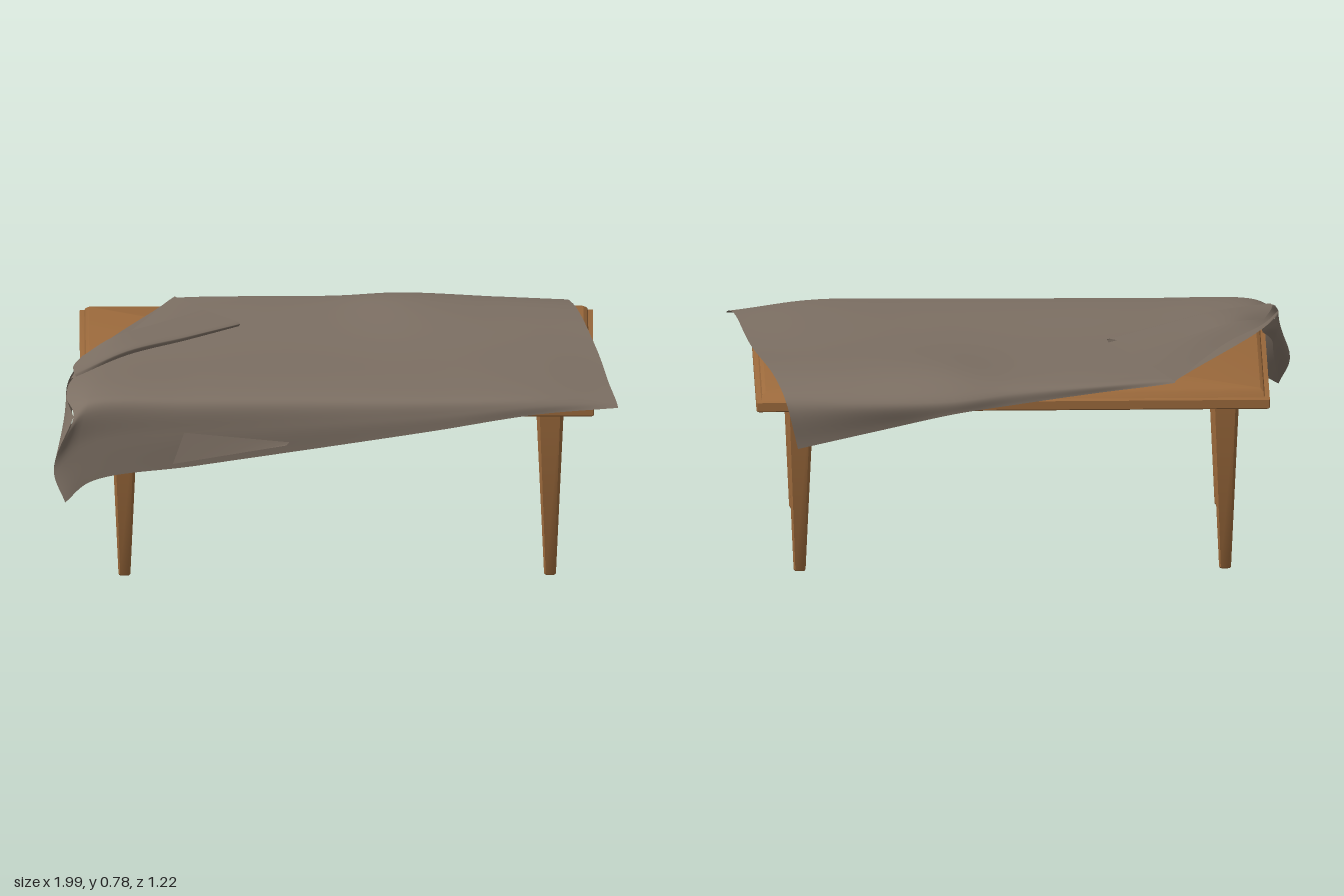
import * as THREE from 'three';
import { toCreasedNormals } from 'three/addons/utils/BufferGeometryUtils.js';

const wood = new THREE.MeshStandardMaterial({ color: 0x9c6a3c });
wood.name = 'warm wood';
const fabric = new THREE.MeshStandardMaterial({ color: 0x7c6f63, side: THREE.DoubleSide });
fabric.name = 'taupe cloth';

function mesh(name, geometry, material) {
  const m = new THREE.Mesh(geometry, material);
  m.name = name;
  return m;
}

function build(positions, index) {
  const g = new THREE.BufferGeometry();
  g.setAttribute('position', new THREE.Float32BufferAttribute(positions, 3));
  g.setIndex(index);
  g.computeVertexNormals();
  return g;
}

// Stack of rectangles with cut corners: each section is [y, halfX, halfZ, corner]
function stacked(sections) {
  const pos = [], idx = [], n = 8;
  for (const [y, w, d, c] of sections) {
    const ring = [[w, -d + c], [w, d - c], [w - c, d], [-w + c, d],
      [-w, d - c], [-w, -d + c], [-w + c, -d], [w - c, -d]];
    for (const [x, z] of ring) pos.push(x, y, z);
  }
  const last = sections.length - 1;
  for (let i = 0; i < last; i++) {
    for (let j = 0; j < n; j++) {
      const a = i * n + j, b = i * n + (j + 1) % n;
      idx.push(a, a + n, b, b, a + n, b + n);
    }
  }
  pos.push(0, sections[0][0], 0, 0, sections[last][0], 0);
  const bottom = (last + 1) * n, top = bottom + 1;
  for (let j = 0; j < n; j++) {
    const k = (j + 1) % n;
    idx.push(bottom, j, k, top, last * n + k, last * n + j);
  }
  return toCreasedNormals(build(pos, idx), 0.6);
}

// Smooth sheet stretched over a set of rails
function sheet(rails, nu, nv) {
  const curve = (pts) => new THREE.CatmullRomCurve3(pts);
  const railCurves = rails.map((r) => curve(r.map((p) => new THREE.Vector3(...p))));
  const pos = [], idx = [];
  for (let i = 0; i <= nu; i++) {
    const across = curve(railCurves.map((c) => c.getPoint(i / nu)));
    for (let j = 0; j <= nv; j++) pos.push(...across.getPoint(j / nv).toArray());
  }
  for (let i = 0; i < nu; i++) {
    for (let j = 0; j < nv; j++) {
      const a = i * (nv + 1) + j, b = a + nv + 1;
      idx.push(a, b, a + 1, b, b + 1, a + 1);
    }
  }
  return build(pos, idx);
}

export function createModel() {
  const model = new THREE.Group();
  model.name = 'draped table';

  // Table: slab with eased upper edge, four tapered legs
  const table = new THREE.Group();
  table.name = 'table';
  table.position.z = -0.02;
  table.add(mesh('tableTop', stacked([
    [0.635, 0.9, 0.505, 0.004], [0.64, 0.905, 0.51, 0.004], [0.67, 0.905, 0.51, 0.004],
    [0.674, 0.888, 0.495, 0.004], [0.69, 0.884, 0.48, 0.004], [0.7, 0.872, 0.465, 0.004],
  ]), wood));
  const legShape = stacked([[0, 0.017, 0.017, 0.005], [0.006, 0.021, 0.021, 0.006], [0.638, 0.049, 0.049, 0.012]]);
  for (const x of [-1, 1]) {
    for (const z of [-1, 1]) {
      const leg = mesh((z > 0 ? 'front' : 'back') + (x > 0 ? 'Left' : 'Right') + 'Leg', legShape, wood);
      leg.position.set(x * 0.75, 0, z * 0.362 + 0.013);
      table.add(leg);
    }
  }
  model.add(table);

  const cloth = new THREE.Group();
  cloth.name = 'cloth';

  // Main sheet, rails from the front hem over the top to the back hem
  const frontRails = [
    [[-0.96, 0.36, 0.61], [-0.87, 0.42, 0.56], [-0.5, 0.475, 0.55], [0, 0.553, 0.555], [0.34, 0.608, 0.56], [0.7, 0.663, 0.545], [0.99, 0.672, 0.5]],
    [[-1.0, 0.47, 0.575], [-0.91, 0.55, 0.545], [-0.5, 0.6, 0.548], [0, 0.635, 0.552], [0.34, 0.66, 0.555], [0.7, 0.69, 0.54], [0.985, 0.685, 0.48]],
    [[-0.93, 0.655, 0.54], [-0.88, 0.69, 0.53], [-0.5, 0.7, 0.53], [0, 0.703, 0.53], [0.34, 0.706, 0.535], [0.7, 0.71, 0.52], [0.975, 0.698, 0.44]],
    [[-0.955, 0.69, 0.42], [-0.86, 0.718, 0.45], [-0.5, 0.722, 0.46], [0, 0.722, 0.46], [0.34, 0.722, 0.46], [0.7, 0.722, 0.45], [0.96, 0.708, 0.36]],
  ];
  const backRails = [
    [[-0.89, 0.72, 0.12], [-0.75, 0.722, 0.1], [-0.45, 0.725, 0.05], [0, 0.725, 0], [0.3, 0.728, 0], [0.65, 0.725, 0], [0.915, 0.715, 0]],
    [[-0.62, 0.73, -0.4], [-0.52, 0.73, -0.42], [-0.3, 0.73, -0.45], [0, 0.732, -0.48], [0.23, 0.748, -0.47], [0.55, 0.735, -0.47], [0.835, 0.728, -0.43]],
    [[-0.575, 0.73, -0.49], [-0.5, 0.73, -0.5], [-0.3, 0.722, -0.525], [0, 0.708, -0.56], [0.21, 0.695, -0.605], [0.55, 0.685, -0.59], [0.8, 0.68, -0.57]],
    [[-0.57, 0.725, -0.5], [-0.5, 0.718, -0.51], [-0.3, 0.7, -0.53], [0, 0.67, -0.57], [0.21, 0.65, -0.61], [0.45, 0.59, -0.59], [0.76, 0.515, -0.578]],
  ];
  cloth.add(mesh('clothSheet', sheet([...frontRails, ...backRails], 60, 56), fabric));

  // Hanging side with its loose corner
  cloth.add(mesh('sideDrape', sheet([
    [[-0.93, 0.655, 0.54], [-0.955, 0.69, 0.42], [-0.94, 0.71, 0.27], [-0.89, 0.72, 0.12]],
    [[-1.0, 0.47, 0.575], [-0.96, 0.6, 0.44], [-0.945, 0.67, 0.28], [-0.892, 0.715, 0.12]],
    [[-0.96, 0.36, 0.61], [-0.94, 0.515, 0.46], [-0.93, 0.625, 0.29], [-0.893, 0.71, 0.12]],
  ], 24, 16), fabric));

  // Corner turned back over the sheet, then rolled once more
  cloth.add(mesh('foldedCorner', sheet([
    [[-0.57, 0.732, -0.5], [-0.76, 0.732, -0.07], [-0.89, 0.73, 0.14], [-0.955, 0.705, 0.38]],
    [[-0.45, 0.75, -0.3], [-0.68, 0.752, -0.02], [-0.83, 0.752, 0.17], [-0.94, 0.732, 0.36]],
    [[-0.345, 0.755, -0.125], [-0.53, 0.757, 0.025], [-0.74, 0.757, 0.18], [-0.92, 0.738, 0.35]],
  ], 24, 12), fabric));
  cloth.add(mesh('foldedBand', sheet([
    [[-0.345, 0.755, -0.125], [-0.53, 0.757, 0.025], [-0.74, 0.757, 0.18], [-0.92, 0.738, 0.35]],
    [[-0.34, 0.766, -0.12], [-0.53, 0.77, 0.025], [-0.74, 0.773, 0.18], [-0.925, 0.745, 0.34]],
    [[-0.41, 0.772, -0.19], [-0.58, 0.774, -0.04], [-0.77, 0.777, 0.12], [-0.93, 0.75, 0.28]],
    [[-0.47, 0.77, -0.26], [-0.63, 0.772, -0.11], [-0.79, 0.774, 0.04], [-0.9, 0.745, 0.16]],
  ], 24, 12), fabric));

  // Small tuck on the front hang
  cloth.add(mesh('frontTuck', sheet([
    [[-0.54, 0.6, 0.552], [-0.17, 0.565, 0.556]],
    [[-0.58, 0.49, 0.572], [-0.18, 0.555, 0.562]],
  ], 4, 2), fabric));

  model.add(cloth);
  return model;
}
